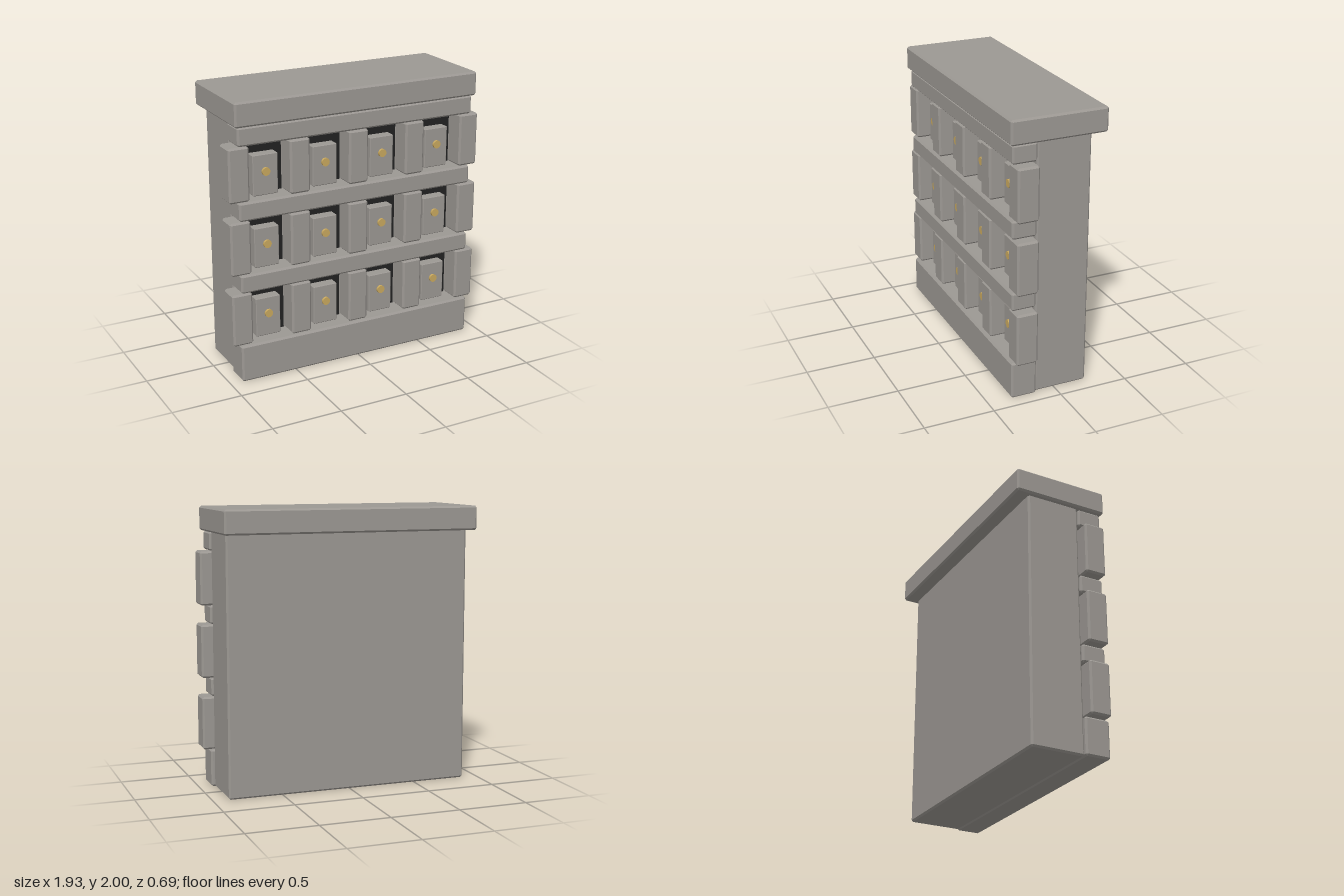
import * as THREE from 'three';
import { ConvexGeometry } from 'three/addons/geometries/ConvexGeometry.js';

const stone = new THREE.MeshStandardMaterial({ color: 0x9c9893 });
stone.name = 'grey stone';
const shadow = new THREE.MeshStandardMaterial({ color: 0x222222 });
shadow.name = 'dark recess';
const brass = new THREE.MeshStandardMaterial({ color: 0xc9a95f });
brass.name = 'brass';

// Box between two corners with every edge chamfered by b
function chamferBox([x0, y0, z0], [x1, y1, z1], b = 0.013) {
  const half = [(x1 - x0) / 2, (y1 - y0) / 2, (z1 - z0) / 2];
  const points = [];
  for (const sx of [-1, 1]) for (const sy of [-1, 1]) for (const sz of [-1, 1]) {
    for (let axis = 0; axis < 3; axis++) {
      const c = half.map((h, i) => (i === axis ? h : h - b));
      points.push(new THREE.Vector3(sx * c[0], sy * c[1], sz * c[2]));
    }
  }
  const geometry = new ConvexGeometry(points);
  geometry.translate((x0 + x1) / 2, (y0 + y1) / 2, (z0 + z1) / 2);
  return geometry;
}

export function createModel() {
  const model = new THREE.Group();
  model.name = 'nicheWall';

  const add = (name, geometry, material) => {
    const mesh = new THREE.Mesh(geometry, material);
    mesh.name = name;
    model.add(mesh);
    return mesh;
  };
  const block = (name, min, max, b) => add(name, chamferBox(min, max, b), stone);

  // Main mass, plinth and overhanging cap
  block('body', [-0.89, 0, -0.243], [0.89, 1.84, 0.148]);
  block('plinth', [-0.913, 0, 0.145], [0.913, 0.27, 0.33]);
  block('cap', [-0.925, 1.828, -0.345], [0.925, 2, 0.345]);

  const pitch = 0.446;
  for (let row = 0; row < 3; row++) {
    const y = 0.272 + row * 0.518;

    // Rail above each row
    block('rail', [-0.902, y + 0.386, 0.148], [0.902, y + 0.518, 0.325]);

    // Upright dividers
    for (let i = -2; i <= 2; i++) {
      const x = i * pitch;
      block('divider', [x - 0.074, y, 0.16], [x + 0.074, y + 0.381, 0.315]);
    }

    // Dark recess, inset door and round knob in each niche
    for (let i = -1.5; i <= 1.5; i++) {
      const x = i * pitch;
      const recess = add('recess', new THREE.BoxGeometry(0.3, 0.4, 0.02), shadow);
      recess.position.set(x, y + 0.19, 0.152);

      block('door', [x - 0.092, y, 0.155], [x + 0.092, y + 0.287, 0.235], 0.005);

      const knob = add('knob', new THREE.CylinderGeometry(0.029, 0.029, 0.025, 16), brass);
      knob.rotation.x = Math.PI / 2;
      knob.position.set(x, y + 0.168, 0.24);
    }
  }
  return model;
}
